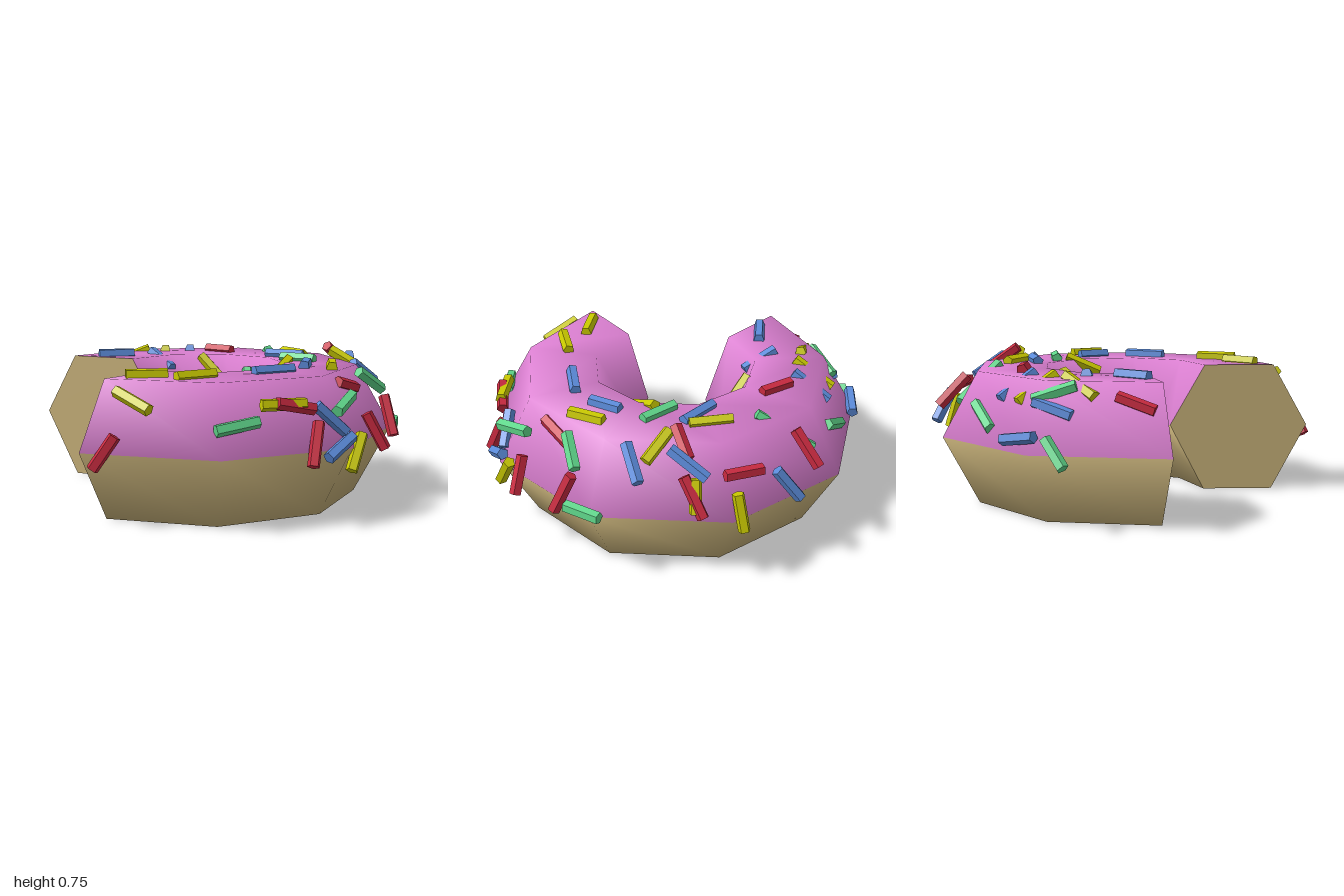
import * as THREE from 'three';

const CX = -0.05, SEG = 7, STEP = Math.PI * 2 / 9, START = -3 * STEP;
// hexagonal dough section as [radius, height], from the outer edge over the top
const SECTION = [[0.972, 0.345], [0.79, 0.665], [0.426, 0.665], [0.245, 0.345], [0.426, 0], [0.79, 0]];

// sprinkles: [x1, z1, x2, z2] lying on the icing, plus [y1, y2] on the steep sides
const SPRINKLES = {
  green: [0x5fd68a, [
    [-0.07, -0.985, 0.035, -0.93, 0.3, 0.42], [-0.06, -0.77, 0.14, -0.81], [0.37, -0.77, 0.51, -0.63],
    [0.56, -0.23, 0.66, -0.49], [0.25, -0.01, 0.3, -0.09], [0.37, 0.12, 0.45, 0.3],
    [0.43, 0.66, 0.59, 0.66, 0.65, 0.55], [0.61, 0.72, 0.75, 0.59, 0.37, 0.37],
    [0.05, 0.93, 0.24, 0.82, 0.52, 0.57], [-0.53, 0.79, -0.33, 0.84, 0.47, 0.5]]],
  blue: [0x5b8bd9, [
    [0.08, -0.95, 0.26, -0.89, 0.43, 0.4], [-0.06, -0.84, 0.13, -0.82], [-0.35, -0.58, -0.17, -0.51],
    [-0.03, -0.55, -0.01, -0.37], [0.23, -0.55, 0.35, -0.7], [0.83, -0.24, 0.87, -0.35, 0.53, 0.38],
    [0.41, -0.06, 0.52, 0.12], [0.21, 0.5, 0.33, 0.38], [-0.12, 0.525, 0.1, 0.55],
    [0.61, 0.42, 0.78, 0.41, 0.66, 0.55], [0.74, 0.25, 0.86, 0.11, 0.68, 0.57],
    [-0.03, 0.97, 0.14, 0.94, 0.32, 0.4], [-0.02, 0.87, 0.11, 0.93, 0.55, 0.42]]],
  red: [0xc82a40, [
    [-0.43, -0.76, -0.25, -0.76], [0.32, -0.5, 0.37, -0.33], [0.67, -0.39, 0.79, -0.47, 0.63, 0.48],
    [0.83, -0.17, 0.85, 0.02, 0.55, 0.56], [0.15, 0.21, 0.29, 0.06], [0.63, 0.19, 0.77, 0.17, 0.73, 0.63],
    [0.8, 0.2, 0.91, 0.14, 0.56, 0.39], [0.23, 0.73, 0.42, 0.65], [0.575, 0.77, 0.59, 0.68, 0.33, 0.52],
    [0.3, 0.86, 0.37, 0.92, 0.48, 0.31], [-0.25, 0.87, -0.06, 0.9, 0.58, 0.54],
    [-0.12, 0.97, -0.04, 0.91, 0.29, 0.48], [-0.94, 0.41, -0.85, 0.46, 0.28, 0.43]]],
  yellow: [0xc8c800, [
    [-0.15, -0.78, 0.03, -0.67], [0.1, -0.61, 0.23, -0.77], [0.16, -0.33, 0.22, -0.2],
    [0.545, 0.1, 0.565, -0.11], [0.89, -0.03, 0.94, -0.05, 0.48, 0.3], [0.18, 0.28, 0.35, 0.21],
    [0.63, 0.22, 0.72, 0.36, 0.71, 0.62], [0.29, 0.62, 0.41, 0.48], [-0.54, 0.49, -0.33, 0.5],
    [-0.69, 0.29, -0.51, 0.37], [-0.79, 0.37, -0.73, 0.56, 0.62, 0.55],
    [-0.31, 0.83, -0.11, 0.9, 0.57, 0.57], [0.12, 0.96, 0.22, 0.92, 0.24, 0.4],
    [0.82, 0.15, 0.88, 0.17, 0.55, 0.4]]],
};

const material = color => new THREE.MeshStandardMaterial({ color });

// height of the icing above a point in plan
function icingHeight(x, z) {
  const a = Math.atan2(z, x - CX);
  const off = a - (Math.floor(a / STEP) + 0.5) * STEP;
  const r = Math.hypot(x - CX, z) * Math.cos(off) / Math.cos(STEP / 2);
  const t = Math.min((0.972 - r) / 0.182, (r - 0.245) / 0.181);
  return 0.345 + 0.32 * THREE.MathUtils.clamp(t, 0, 1);
}

function createBody() {
  const positions = [];
  for (let j = 0; j <= SEG; j++) {
    const a = START + j * STEP;
    for (const [r, y] of SECTION) positions.push(CX + r * Math.cos(a), y, r * Math.sin(a));
  }
  const icing = [], dough = [], caps = [];
  for (let j = 0; j < SEG; j++) {
    for (let i = 0; i < 6; i++) {
      const a = j * 6 + i, d = j * 6 + (i + 1) % 6, b = a + 6, c = d + 6;
      (i < 3 ? icing : dough).push(a, d, c, a, c, b);
    }
  }
  // bitten ends
  const last = SEG * 6;
  for (let i = 1; i < 5; i++) caps.push(0, i + 1, i, last, last + i, last + i + 1);

  // icing and dough share smooth normals over the whole ring
  const ring = new THREE.BufferGeometry();
  ring.setAttribute('position', new THREE.Float32BufferAttribute(positions, 3));
  ring.setIndex([...icing, ...dough]);
  ring.computeVertexNormals();
  const part = (name, index, color) => {
    const g = ring.clone();
    g.setIndex(index);
    const mesh = new THREE.Mesh(g, material(color));
    mesh.name = name;
    return mesh;
  };
  const ends = part('bittenEnds', caps, 0xc8b27a);
  ends.geometry = ends.geometry.toNonIndexed();
  ends.geometry.computeVertexNormals();
  return [part('icing', icing, 0xda7fd0), part('dough', dough, 0xc8b27a), ends];
}

function createSprinkles(name, color, list) {
  const group = new THREE.Group();
  group.name = name + 'Sprinkles';
  const mat = material(color);
  mat.flatShading = true;
  for (const [x1, z1, x2, z2, y1, y2] of list) {
    const p = new THREE.Vector3(x1, y1 ?? icingHeight(x1, z1) + 0.012, z1);
    const q = new THREE.Vector3(x2, y2 ?? icingHeight(x2, z2) + 0.012, z2);
    const mesh = new THREE.Mesh(new THREE.CylinderGeometry(0.03, 0.03, p.distanceTo(q), 5), mat);
    mesh.name = 'sprinkle';
    mesh.position.lerpVectors(p, q, 0.5);
    mesh.quaternion.setFromUnitVectors(new THREE.Vector3(0, 1, 0), q.sub(p).normalize());
    group.add(mesh);
  }
  return group;
}

export function createModel() {
  const model = new THREE.Group();
  model.name = 'bittenDonut';
  model.add(...createBody());
  for (const [name, [color, list]] of Object.entries(SPRINKLES)) model.add(createSprinkles(name, color, list));
  return model;
}
